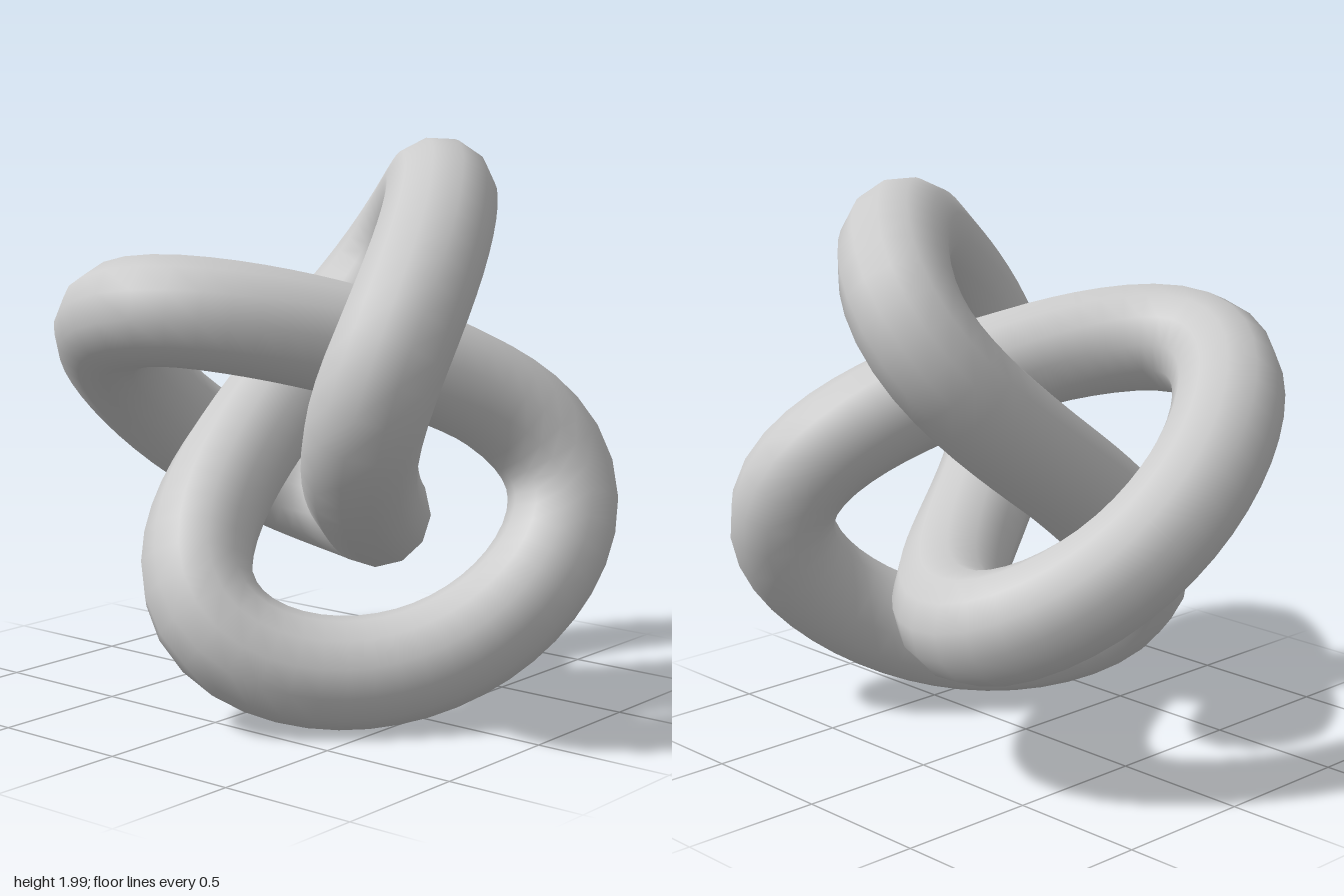
import * as THREE from 'three';

// Closed trefoil centre line: two main harmonics plus slight corrections
class TrefoilCurve extends THREE.Curve {
  getPoint(u, target = new THREE.Vector3()) {
    const t = u * Math.PI * 2;
    const a = 0.267, b = 0.6, g = 0.01;
    return target.set(
      0.13 - (b * Math.cos(2 * t) + a * Math.cos(t) + g * Math.cos(5 * t)),
      1.003 + b * Math.sin(2 * t) - a * Math.sin(t) + g * Math.sin(5 * t),
      0.527 * Math.sin(3 * t) - 0.05 * Math.sin(6 * t)
    );
  }
}

export function createModel() {
  const group = new THREE.Group();
  group.name = 'trefoilKnot';

  // Round tube swept along the knot
  const tube = new THREE.Mesh(
    new THREE.TubeGeometry(new TrefoilCurve(), 120, 0.194, 12, true),
    new THREE.MeshStandardMaterial({ color: 0xcccccc })
  );
  tube.name = 'knotTube';
  group.add(tube);
  return group;
}
